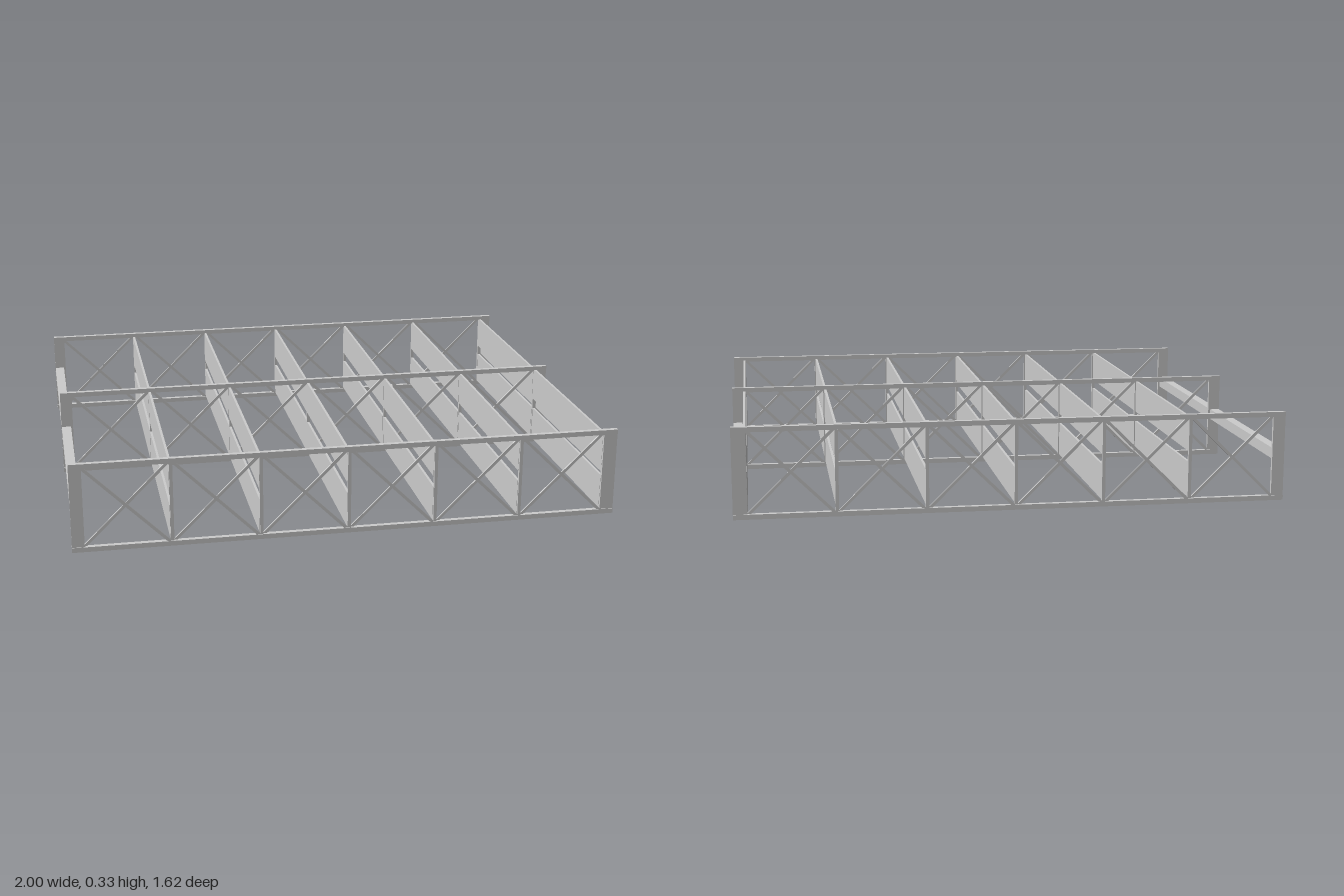
import * as THREE from 'three';

const material = new THREE.MeshStandardMaterial({ color: 0xcccccc, flatShading: true });
const HEIGHT = 0.33;
const CHORD = 0.018;
const BAY = 0.32;
const FIRST = -0.965; // x of the first panel point
const TRUSS_Z = [-0.803, 0, 0.803];

// Box given by its limits on each axis
function box(name, [x0, x1], [y0, y1], [z0, z1]) {
  const mesh = new THREE.Mesh(new THREE.BoxGeometry(x1 - x0, y1 - y0, z1 - z0), material);
  mesh.position.set((x0 + x1) / 2, (y0 + y1) / 2, (z0 + z1) / 2);
  mesh.name = name;
  return mesh;
}

// Slanted bar between two points in the plane of a truss
function brace(xa, ya, xb, yb, z) {
  const length = Math.hypot(xb - xa, yb - ya);
  const mesh = new THREE.Mesh(new THREE.BoxGeometry(length, 0.011, 0.006), material);
  mesh.position.set((xa + xb) / 2, (ya + yb) / 2, z);
  mesh.rotation.z = Math.atan2(yb - ya, xb - xa);
  mesh.name = 'diagonalBrace';
  return mesh;
}

function createTruss() {
  const truss = new THREE.Group();
  truss.name = 'truss';
  const chordZ = [-0.009, 0.009];

  // Chords and end columns
  truss.add(box('bottomChord', [-1, 1], [0, CHORD], chordZ));
  truss.add(box('topChord', [-1, 1], [HEIGHT - CHORD, HEIGHT], chordZ));
  for (const x of [-1, 0.955]) {
    truss.add(box('endColumn', [x, x + 0.045], [CHORD, HEIGHT - CHORD], [-0.006, 0.006]));
  }

  // Posts and crossed braces of the six bays
  for (let i = 0; i < 6; i++) {
    const left = FIRST + i * BAY + 0.008;
    const right = FIRST + (i + 1) * BAY - 0.008;
    truss.add(brace(left, 0.315, right, 0.015, 0.003));
    truss.add(brace(left, 0.015, right, 0.315, -0.004));
    truss.add(box('post', [right + 0.002, right + 0.014], [CHORD, HEIGHT - CHORD], [-0.006, 0.006]));
  }
  return truss;
}

export function createModel() {
  const model = new THREE.Group();
  model.name = 'trussFrame';

  for (const z of TRUSS_Z) {
    const truss = createTruss();
    truss.position.z = z;
    model.add(truss);
  }

  // Upper and lower cross panels in both spans, at every post
  for (let span = 0; span < 2; span++) {
    const z0 = TRUSS_Z[span];
    const z1 = TRUSS_Z[span + 1];
    for (let i = 1; i <= 6; i++) {
      const x = FIRST + i * BAY;
      model.add(box('upperPanel', [x - 0.007, x + 0.002], [0.19, 0.316], [z0 + 0.004, z1 - 0.004]));
      model.add(box('lowerPanel', [x - 0.007, x + 0.002], [0.02, 0.15], [z0 + 0.013, z1 - 0.004]));
    }
    // Horizontal beams joining the end columns
    for (const x of [-0.999, 0.963]) {
      model.add(box('endBeam', [x, x + 0.036], [0.15, 0.19], [z0 + 0.004, z1 - 0.004]));
    }
  }
  return model;
}
